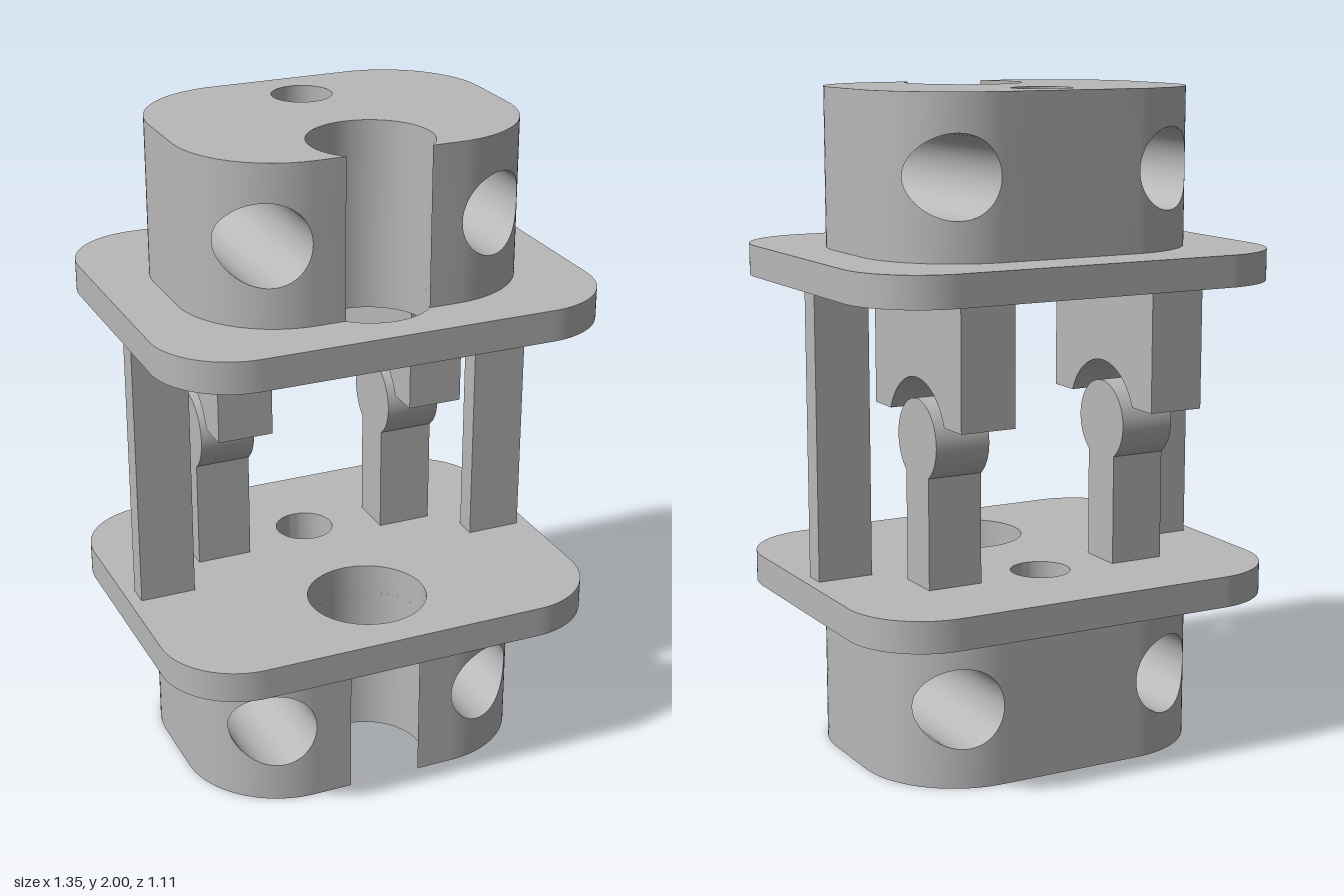
import * as THREE from 'three';
import { toCreasedNormals } from 'three/addons/utils/BufferGeometryUtils.js';

// Vertical bores shared by every layer: centre z and radius
const BIG = { z: 0.27, r: 0.18 };
const SMALL = { z: -0.22, r: 0.09 };
// Horizontal bores running front to back
const BORE = { x: 0.346, r: 0.121 };
const CREASE = 0.5;

export function createModel() {
  const model = new THREE.Group();
  model.name = 'jointFrame';
  const grey = new THREE.MeshStandardMaterial({ color: 0xb8b8b8 });
  grey.name = 'lightGrey';

  const add = (parent, name, geometry) => {
    const mesh = new THREE.Mesh(geometry, grey);
    mesh.name = name;
    parent.add(mesh);
    return mesh;
  };
  const circle = (x, y, r) => new THREE.Path().absarc(x, y, r, 0, Math.PI * 2, false);
  const extrude = (shape, depth) => toCreasedNormals(
    new THREE.ExtrudeGeometry(shape, { depth, bevelEnabled: false, curveSegments: 32 }), CREASE);

  // Rounded end block with a front notch, a vertical bore and two cross bores
  function endBlock(name, hx, hz, y0, y1, boreY) {
    const R = 0.3;
    const group = new THREE.Group();
    group.name = name;
    model.add(group);

    const edge = x => x <= hx - R ? hz : hz - R + Math.sqrt(Math.max(0, R * R - (x - hx + R) ** 2));
    const gap = x => Math.sqrt(Math.max(0, BORE.r ** 2 - (x - BORE.x) ** 2));
    const notchX = Math.sqrt(BIG.r ** 2 - (hz - BIG.z) ** 2);

    // Outline samples in x, from the notch lip to the outer side
    const xs = [notchX];
    for (let i = 0; i <= 24; i++) xs.push(BORE.x - BORE.r * Math.cos(Math.PI * i / 24));
    const a0 = Math.acos((BORE.x + BORE.r - hx + R) / R);
    for (let i = 1; i <= 8; i++) xs.push(hx - R + R * Math.cos(a0 * (1 - i / 8)));

    // Quad mirrored in x, and in z where asked
    const pos = [];
    const quad = (corners, zSigns = [1, -1]) => {
      for (const sx of [1, -1]) for (const sz of zSigns) {
        const p = corners.map(([x, y, z]) => [x * sx, y, z * sz]);
        if (sx * sz < 0) p.reverse();
        for (const k of [0, 1, 2, 0, 2, 3]) pos.push(...p[k]);
      }
    };

    // Curved outer walls and cross bore walls
    for (let i = 0; i < xs.length - 1; i++) {
      const a = xs[i], b = xs[i + 1], za = edge(a), zb = edge(b), ga = gap(a), gb = gap(b);
      quad([[a, y0, za], [b, y0, zb], [b, boreY - gb, zb], [a, boreY - ga, za]]);
      quad([[a, boreY + ga, za], [b, boreY + gb, zb], [b, y1, zb], [a, y1, za]]);
      if (i >= 1 && i <= 24) {
        quad([[a, boreY - ga, za], [b, boreY - gb, zb], [b, boreY - gb, 0], [a, boreY - ga, 0]]);
        quad([[a, boreY + ga, 0], [b, boreY + gb, 0], [b, boreY + gb, zb], [a, boreY + ga, za]]);
      }
    }
    // Flat sides and the middle of the back
    quad([[hx, y0, hz - R], [hx, y0, 0], [hx, y1, 0], [hx, y1, hz - R]]);
    quad([[0, y0, hz], [notchX, y0, hz], [notchX, y1, hz], [0, y1, hz]], [-1]);

    // Notch wall and small bore wall
    const arc = ({ z, r }, start) => Array.from({ length: 25 }, (_, i) => {
      const t = start + (-Math.PI / 2 - start) * i / 24;
      return [r * Math.cos(t), z + r * Math.sin(t)];
    });
    const notch = arc(BIG, Math.atan2(hz - BIG.z, notchX));
    for (const pts of [notch, arc(SMALL, Math.PI / 2)]) {
      for (let i = 0; i < 24; i++) {
        const [x, z] = pts[i], [u, w] = pts[i + 1];
        quad([[u, y0, w], [x, y0, z], [x, y1, z], [u, y1, w]], [1]);
      }
    }
    const walls = new THREE.BufferGeometry();
    walls.setAttribute('position', new THREE.Float32BufferAttribute(pos, 3));
    add(group, name + 'Walls', toCreasedNormals(walls, CREASE));

    // Flat caps
    const half = [
      ...notch.slice().reverse(),
      ...xs.slice(1).map(x => [x, edge(x)]),
      ...xs.slice().reverse().map(x => [x, -edge(x)]),
    ];
    const outline = [...half, ...half.slice(1).reverse().map(([x, z]) => [-x, z])];
    for (const s of [1, -1]) {
      const shape = new THREE.Shape(outline.map(([x, z]) => new THREE.Vector2(x, -s * z)));
      shape.holes.push(circle(0, -s * SMALL.z, SMALL.r));
      const cap = new THREE.ShapeGeometry(shape, 48);
      cap.rotateX(-s * Math.PI / 2);
      cap.translate(0, s > 0 ? y1 : y0, 0);
      add(group, name + (s > 0 ? 'Top' : 'Bottom'), cap);
    }
  }
  endBlock('lowerBlock', 0.53, 0.41, 0, 0.478, 0.24);
  endBlock('upperBlock', 0.515, 0.396, 1.528, 2, 1.767);

  // Rounded plates with both vertical bores
  const W = 0.675, D = 0.555, C = 0.235;
  const plate = new THREE.Shape();
  plate.absarc(W - C, D - C, C, 0, Math.PI / 2, false);
  plate.absarc(C - W, D - C, C, Math.PI / 2, Math.PI, false);
  plate.absarc(C - W, C - D, C, Math.PI, Math.PI * 1.5, false);
  plate.absarc(W - C, C - D, C, Math.PI * 1.5, Math.PI * 2, false);
  for (const b of [BIG, SMALL]) plate.holes.push(circle(0, -b.z, b.r));
  const plateGeometry = extrude(plate, 0.094).rotateX(-Math.PI / 2);
  add(model, 'lowerPlate', plateGeometry).position.y = 0.478;
  add(model, 'upperPlate', plateGeometry).position.y = 1.434;

  // Side profiles are drawn with shape x = -z, then turned to run along x
  const JZ = 0.195, JY = 1.003, BALL = 0.123, STEM = 0.072, CUP = 0.185;
  const lip = Math.asin((1.07 - JY) / CUP);
  const socket = new THREE.Shape();
  socket.moveTo(-0.08, 1.434);
  socket.lineTo(-0.08, 1.07);
  socket.absarc(JZ, JY, CUP, Math.PI - lip, lip, true);
  socket.lineTo(0.472, 1.07);
  socket.lineTo(0.472, 1.434);

  const neck = Math.acos(STEM / BALL);
  const knuckle = new THREE.Shape();
  knuckle.moveTo(JZ - STEM, 0.572);
  knuckle.lineTo(JZ + STEM, 0.572);
  knuckle.absarc(JZ, JY, BALL, -neck, Math.PI + neck, false);

  const DEPTH = 0.17;
  const sideways = shape => extrude(shape, DEPTH).translate(0, 0, -DEPTH / 2).rotateY(Math.PI / 2);
  const socketGeometry = sideways(socket);
  const knuckleGeometry = sideways(knuckle);
  const postGeometry = new THREE.BoxGeometry(0.17, 0.862, 0.068);

  for (const [side, s] of [['left', 1], ['right', -1]]) {
    add(model, side + 'Socket', socketGeometry).position.x = s * 0.31;
    add(model, side + 'Knuckle', knuckleGeometry).position.x = s * 0.31;
    add(model, side + 'Post', postGeometry).position.set(s * 0.553, 1.003, 0.002);
  }
  return model;
}
